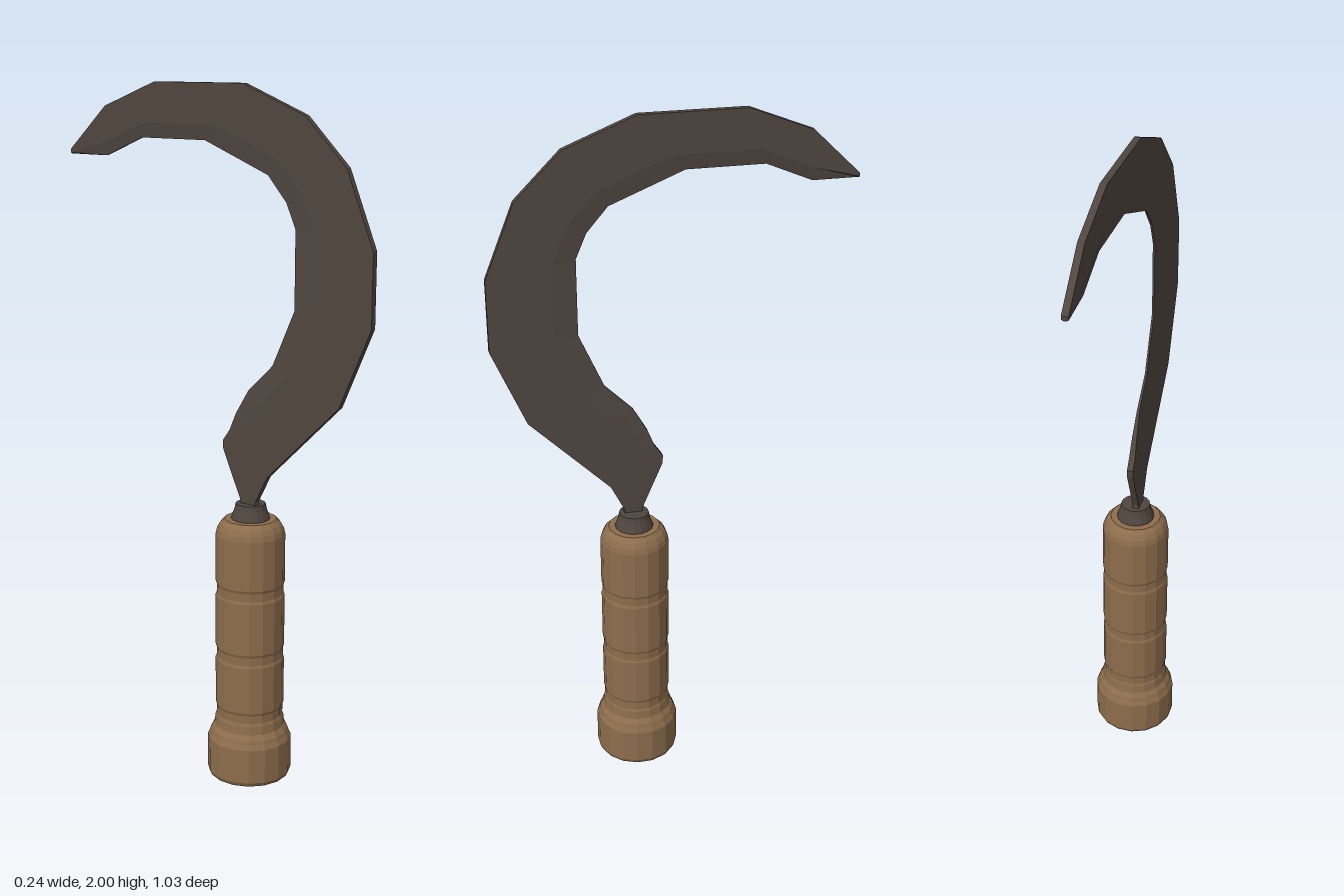
import * as THREE from 'three';

const wood = new THREE.MeshStandardMaterial({ color: 0x8d6d4c, flatShading: true });
wood.name = 'wood';
const iron = new THREE.MeshStandardMaterial({ color: 0x50463f, flatShading: true });
iron.name = 'darkIron';

const HANDLE_Z = 0.123;

// Faceted turned part with flat sides facing the axes
function turned(name, profile, material) {
  const points = profile.map(([r, y]) => new THREE.Vector2(r, y));
  const mesh = new THREE.Mesh(new THREE.LatheGeometry(points, 16, Math.PI / 16), material);
  mesh.name = name;
  mesh.position.z = HANDLE_Z;
  return mesh;
}

// Shallow groove cut around the grip
const groove = (y) => [[0.1, y - 0.02], [0.097, y - 0.012], [0.097, y + 0.012], [0.1, y + 0.02]];

// Curved blade: hexagonal sections swept from the tang to the tip
function bladeGeometry() {
  // spine z, spine y, edge z, edge y, half thickness of the cutting edge
  const stations = [
    [0.155, 0.80, 0.095, 0.80, 0.009],
    [0.15, 0.84, 0.098, 0.84, 0.009],
    [0.19, 0.92, 0.038, 0.98, 0.009],
    [0.22, 0.95, 0.036, 1.005, 0.009],
    [0.26, 0.99, 0.06, 1.04, 0.009],
    [0.31, 1.04, 0.08, 1.09, 0.007],
    [0.36, 1.09, 0.12, 1.16, 0.004],
    [0.42, 1.15, 0.20, 1.24, 0.003],
    [0.515, 1.375, 0.27, 1.40, 0.003],
    [0.515, 1.58, 0.27, 1.62, 0.003],
    [0.43, 1.79, 0.24, 1.69, 0.003],
    [0.30, 1.92, 0.18, 1.76, 0.003],
    [0.10, 2.0, -0.03, 1.845, 0.003],
    [-0.20, 2.0, -0.25, 1.845, 0.003],
    [-0.38, 1.93, -0.38, 1.79, 0.003],
    [-0.512, 1.803, -0.512, 1.79, 0.003],
  ];
  const t = 0.0095, middle = -0.007, bevel = 0.73;
  const positions = [], index = [];
  for (const [sz, sy, ez, ey, e] of stations) {
    const bz = sz + (ez - sz) * bevel, by = sy + (ey - sy) * bevel;
    const ring = [[t, sy, sz], [t, by, bz], [e, ey, ez], [-e, ey, ez], [-t, by, bz], [-t, sy, sz]];
    for (const [x, y, z] of ring) positions.push(x + middle, y, z);
  }
  const last = (stations.length - 1) * 6;
  for (let base = 0; base < last; base += 6) {
    for (let j = 0; j < 6; j++) {
      const a = base + j, b = base + (j + 1) % 6;
      index.push(a, b, b + 6, a, b + 6, a + 6);
    }
  }
  // End caps
  for (let j = 1; j < 5; j++) {
    index.push(0, j + 1, j, last, last + j, last + j + 1);
  }
  const indexed = new THREE.BufferGeometry();
  indexed.setAttribute('position', new THREE.Float32BufferAttribute(positions, 3));
  indexed.setIndex(index);
  const geometry = indexed.toNonIndexed();
  geometry.computeVertexNormals();
  return geometry;
}

export function createModel() {
  const sickle = new THREE.Group();
  sickle.name = 'sickle';

  // Wooden grip with a flared pommel, grooves and a rounded shoulder
  sickle.add(turned('handle', [
    [0, 0], [0.117, 0], [0.123, 0.012], [0.123, 0.115], [0.116, 0.13], [0.113, 0.14],
    [0.103, 0.155], ...groove(0.2), ...groove(0.38), ...groove(0.575),
    [0.1, 0.74], [0.096, 0.757], [0.088, 0.772], [0.075, 0.785], [0, 0.785],
  ], wood));

  // Iron collar holding the tang
  sickle.add(turned('collar', [
    [0, 0.775], [0.057, 0.775], [0.055, 0.79], [0.046, 0.815], [0.043, 0.83], [0, 0.83],
  ], iron));

  const blade = new THREE.Mesh(bladeGeometry(), iron);
  blade.name = 'blade';
  sickle.add(blade);

  return sickle;
}
